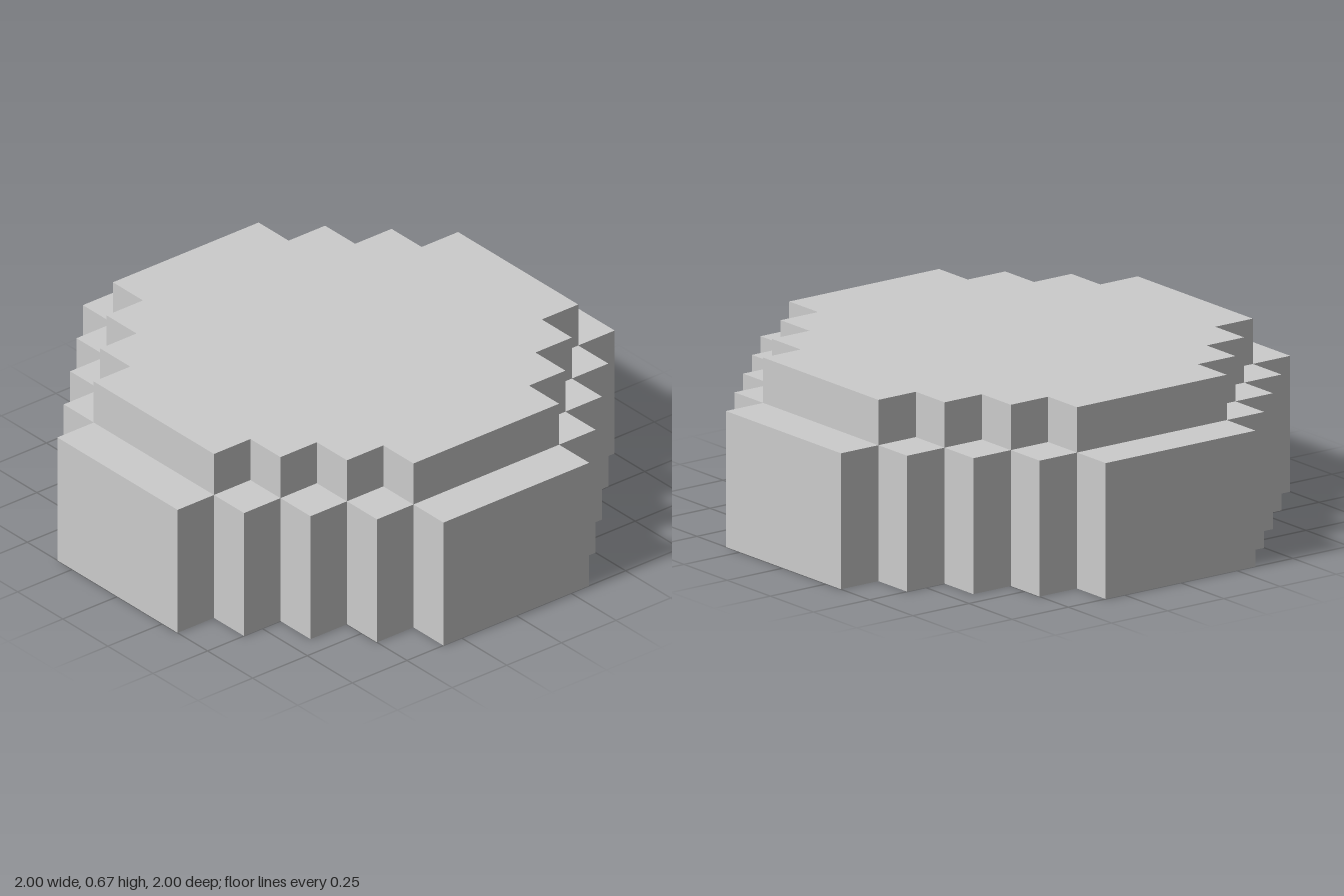
import * as THREE from 'three';

const UNIT = 1 / 6; // size of one block

// Stepped disc outline reaching `r` blocks from the centre, with flat sides 4 blocks wide
function steppedOutline(r) {
  const corner = [];
  for (let k = 2; k < r; k++) corner.push([r + 2 - k, k], [r + 1 - k, k]);
  corner.push([2, r]);

  // Repeat the corner staircase by quarter turns
  const points = [];
  for (let q = 0; q < 4; q++) {
    for (const [x, y] of corner) {
      const [px, py] = [[x, y], [-y, x], [-x, -y], [y, -x]][q];
      points.push(new THREE.Vector2(px * UNIT, py * UNIT));
    }
  }
  return new THREE.Shape(points);
}

// One solid tier standing between two block heights
function tier(name, r, bottom, top, material) {
  const geometry = new THREE.ExtrudeGeometry(steppedOutline(r), {
    depth: (top - bottom) * UNIT,
    bevelEnabled: false,
  });
  geometry.rotateX(-Math.PI / 2);
  geometry.translate(0, bottom * UNIT, 0);
  const mesh = new THREE.Mesh(geometry, material);
  mesh.name = name;
  return mesh;
}

export function createModel() {
  const material = new THREE.MeshStandardMaterial({ color: 0xcccccc, flatShading: true });
  const group = new THREE.Group();
  group.name = 'steppedDisc';
  group.add(
    tier('lowerTier', 6, 0, 3, material),
    tier('upperTier', 5, 3, 4, material),
  );
  return group;
}
